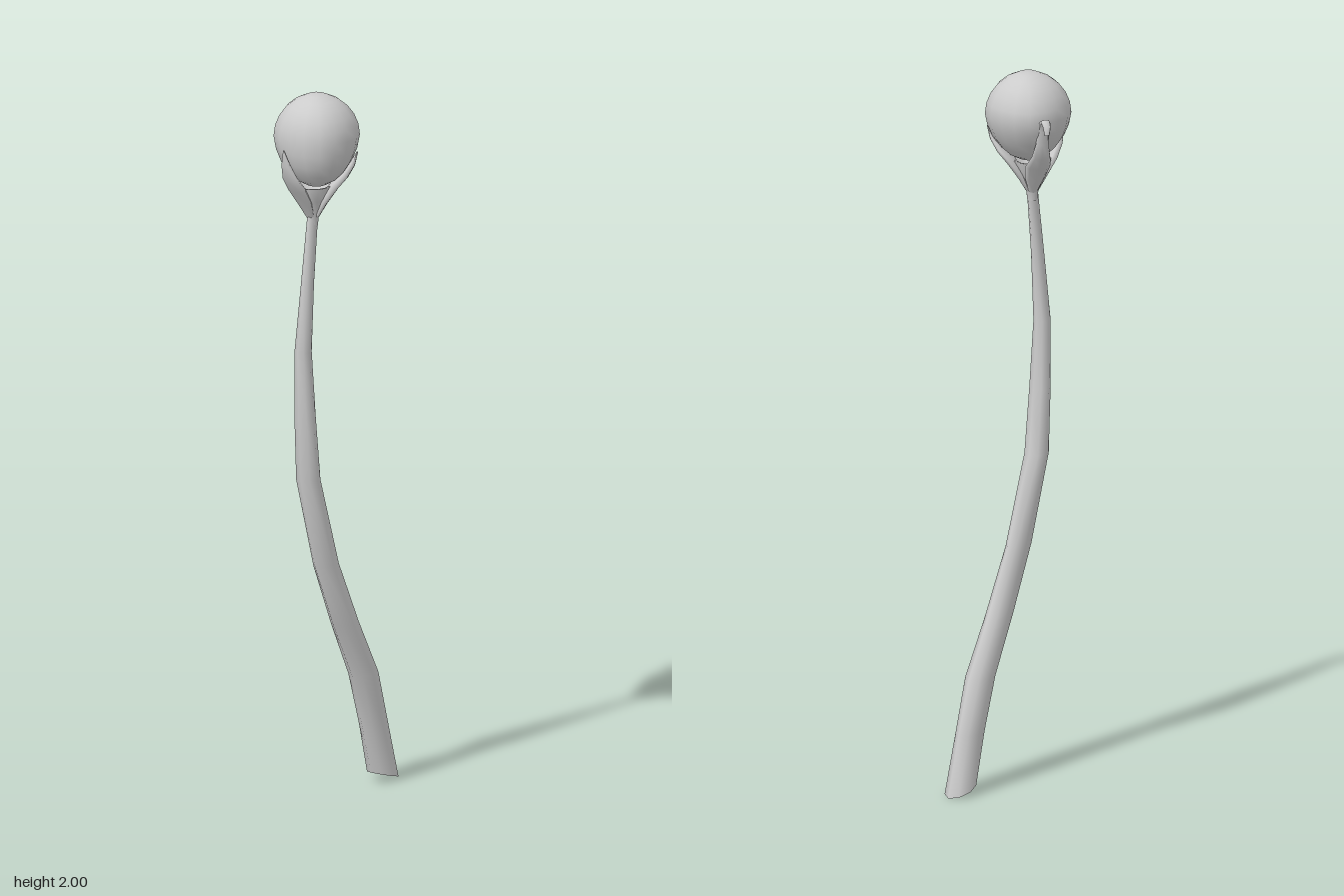
import * as THREE from 'three';
import { mergeVertices } from 'three/addons/utils/BufferGeometryUtils.js';

const material = new THREE.MeshStandardMaterial({ color: 0xcccccc, side: THREE.DoubleSide });
const V = (x, y, z) => new THREE.Vector3(x, y, z);

// Smooth skin through closed rings { c, u, v } with flat caps at both ends
function loft(rings, sides) {
  const pos = [], index = [];
  const point = (r, j) => {
    const a = (j / sides) * Math.PI * 2;
    return r.c.clone().addScaledVector(r.u, Math.cos(a)).addScaledVector(r.v, Math.sin(a));
  };
  rings.forEach((r, i) => {
    for (let j = 0; j < sides; j++) {
      pos.push(...point(r, j).toArray());
      if (i === rings.length - 1) continue;
      const k = (j + 1) % sides, a = i * sides, b = a + sides;
      index.push(a + j, a + k, b + j, a + k, b + k, b + j);
    }
  });
  for (const [r, flip] of [[rings[0], true], [rings[rings.length - 1], false]]) {
    const start = pos.length / 3;
    for (let j = 0; j < sides; j++) pos.push(...point(r, j).toArray());
    for (let j = 1; j < sides - 1; j++) {
      index.push(start, start + (flip ? j + 1 : j), start + (flip ? j : j + 1));
    }
  }
  const g = new THREE.BufferGeometry();
  g.setAttribute('position', new THREE.Float32BufferAttribute(pos, 3));
  g.setIndex(index);
  g.computeVertexNormals();
  return g;
}

function add(group, name, geometry) {
  const mesh = new THREE.Mesh(geometry, material);
  mesh.name = name;
  group.add(mesh);
  return mesh;
}

// Tapered claw reaching toward +z; rows are [reach, height, half width, half thickness]
function clawGeometry(rows) {
  const p = rows.map(([r, y]) => V(0, y, r));
  return loft(rows.map(([, , w, t], i) => {
    const d = p[Math.min(i + 1, p.length - 1)].clone().sub(p[Math.max(i - 1, 0)]).normalize();
    return { c: p[i], u: V(0, -d.z, d.y).multiplyScalar(t), v: V(w, 0, 0) };
  }), 8);
}

export function createModel() {
  const group = new THREE.Group();

  // Bent shaft: [y, centre x, centre z, half width x, half depth z, tilt]
  const shaft = [
    [0.016, 0.008, -0.181, 0.037, 0.05, 0.014],
    [0.17, 0.01, -0.14, 0.033, 0.047, 0],
    [0.32, 0.01, -0.098, 0.036, 0.047, 0],
    [0.48, 0.012, -0.018, 0.03, 0.047, 0],
    [0.66, 0.012, 0.06, 0.026, 0.045, 0],
    [0.91, 0.0, 0.12, 0.035, 0.031, 0],
    [1.09, 0.004, 0.138, 0.031, 0.027, 0],
    [1.28, 0.008, 0.151, 0.023, 0.024, 0],
    [1.47, 0.015, 0.141, 0.016, 0.02, 0],
    [1.66, 0.015, 0.119, 0.012, 0.018, 0],
  ];
  add(group, 'shaft', loft(shaft.map(([y, x, z, hx, hz, tilt]) => (
    { c: V(x, y, z), u: V(0, tilt, hz), v: V(hx, 0, 0) })), 8));

  // Holder: flared cup with three claws around the orb
  const holder = new THREE.Group();
  holder.name = 'holder';
  holder.position.set(0.014, 0, 0.118);
  group.add(holder);
  const cup = [[0.014, 1.63], [0.018, 1.665], [0.034, 1.705], [0.053, 1.745], [0.045, 1.745], [0.02, 1.71]];
  add(holder, 'cup', new THREE.LatheGeometry(cup.map((p) => new THREE.Vector2(...p)), 12));

  const root = [
    [0.008, 1.655, 0.012, 0.008],
    [0.03, 1.7, 0.028, 0.012],
    [0.06, 1.745, 0.036, 0.013],
  ];
  const frontTip = [[0.085, 1.78, 0.029, 0.012], [0.1, 1.82, 0.017, 0.008], [0.108, 1.862, 0.002, 0.002]];
  const sideTip = [[0.088, 1.775, 0.028, 0.011], [0.108, 1.805, 0.016, 0.008], [0.122, 1.84, 0.002, 0.002]];
  const hookTip = [
    [0.09, 1.78, 0.026, 0.011], [0.105, 1.82, 0.018, 0.009], [0.112, 1.86, 0.015, 0.008],
    [0.122, 1.885, 0.014, 0.007], [0.139, 1.893, 0.013, 0.007],
    [0.153, 1.883, 0.011, 0.006], [0.156, 1.86, 0.007, 0.004],
  ];
  for (const [name, tip, degrees] of [
    ['frontClaw', frontTip, -6], ['leftClaw', sideTip, 129], ['hookedClaw', hookTip, -123],
  ]) {
    add(holder, name, clawGeometry([...root, ...tip])).rotation.y = THREE.MathUtils.degToRad(degrees);
  }

  // Orb: slightly squarish, egg-shaped ball tapering downward
  let orb = new THREE.SphereGeometry(1, 16, 12);
  orb.deleteAttribute('uv');
  orb.deleteAttribute('normal');
  orb = mergeVertices(orb, 1e-4);
  const p = orb.attributes.position;
  for (let i = 0; i < p.count; i++) {
    const x = p.getX(i), y = p.getY(i), z = p.getZ(i);
    const r = 0.114 * (1 - 0.035 * Math.cos(4 * Math.atan2(z, x))) * (y < 0 ? 1 + 0.1 * y : 1);
    p.setXYZ(i, 0.013 + x * r - 0.012 * Math.min(y, 0), 1.882 + y * (y > 0 ? 0.118 : 0.138),
      0.1 + z * r - 0.015 * Math.min(y, 0));
  }
  orb.computeVertexNormals();
  add(group, 'orb', orb);

  return group;
}
